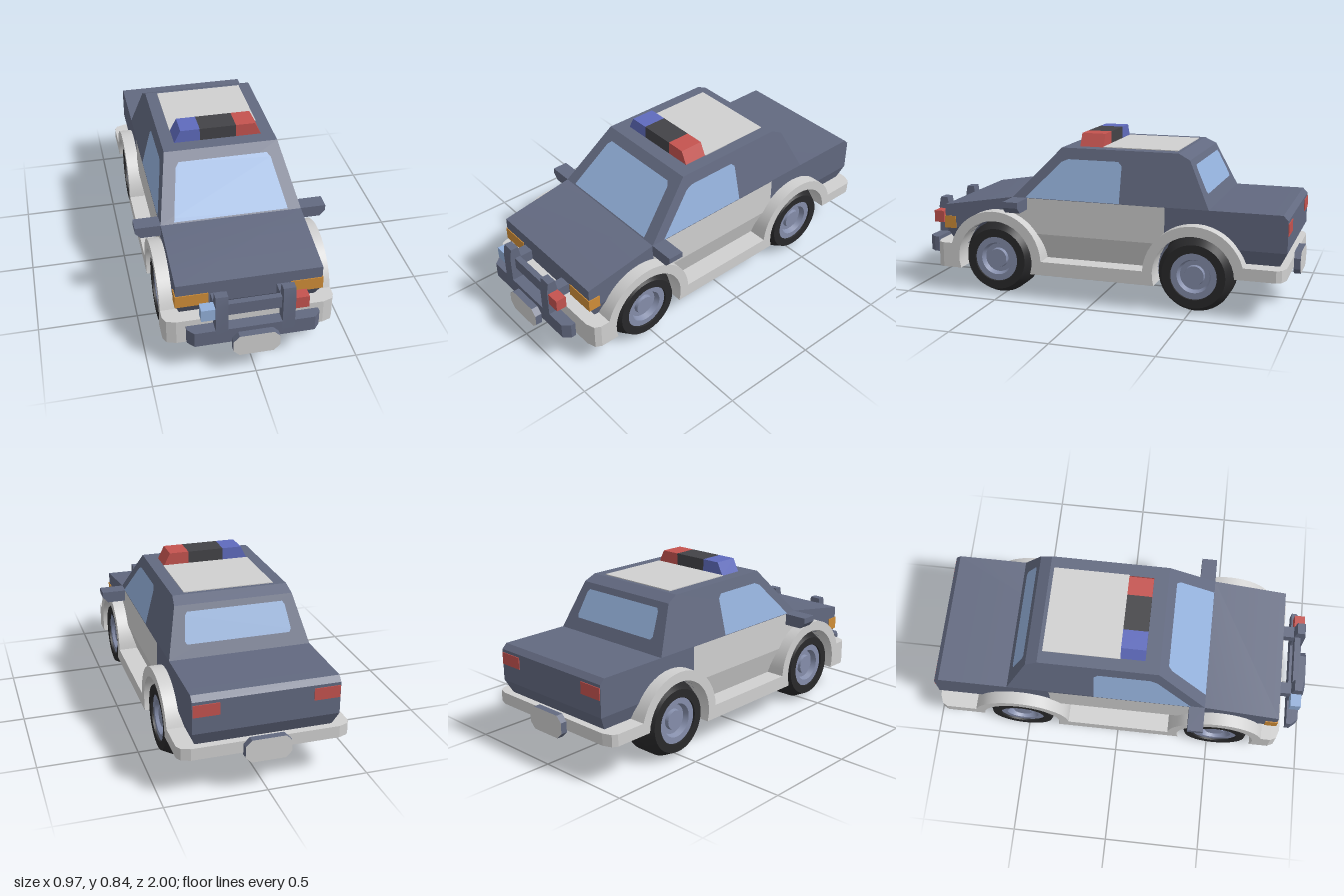
import * as THREE from 'three';
import { toCreasedNormals } from 'three/addons/utils/BufferGeometryUtils.js';

const mat = (name, color, side = THREE.FrontSide) =>
  new THREE.MeshStandardMaterial({ name, color, side });

const AXLE_Y = 0.19, FRONT_Z = 0.53, REAR_Z = -0.52;

// Half width of the car at a given height: tapered sills, upright doors, sloping cabin
const halfWidth = (y) =>
  y < 0.33 ? 0.355 - (0.33 - y) * 0.3 : y <= 0.515 ? 0.355 : 0.355 - (y - 0.515) * 0.25;

// Points [z, y] on a circle around an axle
function arc(cz, r, a0, a1, n = 14) {
  return Array.from({ length: n + 1 }, (_, i) => {
    const a = a0 + ((a1 - a0) * i) / n;
    return [cz + r * Math.cos(a), AXLE_Y + r * Math.sin(a)];
  });
}

const toShape = (pts) => new THREE.Shape(pts.map(([u, v]) => new THREE.Vector2(u, v)));
const extrude = (pts, depth) =>
  new THREE.ExtrudeGeometry(toShape(pts), { depth, bevelEnabled: false });

// Extrude a [z, y] profile along x
function alongX(pts, x0, x1) {
  const g = extrude(pts, x1 - x0);
  g.rotateY(-Math.PI / 2).translate(x1, 0, 0);
  return toCreasedNormals(g, 0.4);
}

// Extrude an [x, z] plan along y
function alongY(pts, y0, y1) {
  const g = extrude(pts, y1 - y0);
  g.rotateX(Math.PI / 2).translate(0, y1, 0);
  return g;
}

// Full-width body section following the car's half width
function hull(pts) {
  const g = extrude(pts, 2);
  g.rotateY(-Math.PI / 2).translate(1, 0, 0);
  const p = g.attributes.position;
  for (let i = 0; i < p.count; i++) p.setX(i, p.getX(i) * halfWidth(p.getY(i)));
  g.computeVertexNormals();
  return toCreasedNormals(g, 0.4);
}

// Thin surface whose flat points are placed by a rule
function panel(pts, place) {
  const g = new THREE.ShapeGeometry(toShape(pts));
  const p = g.attributes.position;
  for (let i = 0; i < p.count; i++) p.setXYZ(i, ...place(p.getX(i), p.getY(i)));
  g.computeVertexNormals();
  return g;
}

function box(x0, x1, y0, y1, z0, z1) {
  const g = new THREE.BoxGeometry(Math.abs(x1 - x0), y1 - y0, z1 - z0);
  return g.translate((x0 + x1) / 2, (y0 + y1) / 2, (z0 + z1) / 2);
}

const mirrorX = (pts) => [...pts, ...pts.map(([x, y]) => [-x, y]).reverse()];

export function createModel() {
  const paint = mat('slate paint', 0x626980);
  const white = mat('pale grey', 0xd0d0d0, THREE.DoubleSide);
  const glass = mat('light blue glass', 0x93b0da, THREE.DoubleSide);
  const rubber = mat('black rubber', 0x29292b);
  const dark = mat('dark grey', 0x434347);
  const rimMat = mat('rim blue grey', 0x858eab);
  const red = mat('red lens', 0xc4534f, THREE.DoubleSide);
  const blue = mat('blue lens', 0x5f6bbd);
  const orange = mat('orange lens', 0xd08e38);

  const car = new THREE.Group();
  car.name = 'patrolCar';
  const add = (name, geo, material, parent = car) => {
    const m = new THREE.Mesh(geo, material);
    m.name = name;
    parent.add(m);
    return m;
  };

  // Body: upper section, sills split by the wheel wells, cabin
  const R = 0.205, top = 0.752, low = -0.297, PI = Math.PI;
  add('upperBody', hull([
    [0.84, 0.33], [0.84, 0.45], [0.45, 0.515], [-0.94, 0.515], [-0.965, 0.49], [-0.965, 0.33],
    ...arc(REAR_Z, R, PI - top, top), ...arc(FRONT_Z, R, PI - top, top),
  ]), paint);
  add('noseSection', hull([[0.8, 0.13], [0.8, 0.26], [0.84, 0.33], ...arc(FRONT_Z, R, top, low)]), paint);
  add('floorSection', hull([...arc(FRONT_Z, R, PI - top, PI - low), ...arc(REAR_Z, R, low, top)]), paint);
  add('tailSection', hull([[-0.93, 0.2], [-0.93, 0.26], [-0.965, 0.33], ...arc(REAR_Z, R, PI - top, PI - 0.05)]), paint);
  add('cabin', hull([[0.45, 0.515], [0.2, 0.775], [-0.41, 0.775], [-0.47, 0.745], [-0.58, 0.515]]), paint);
  add('wheelWellCore', box(-0.18, 0.18, 0.15, 0.45, -0.75, 0.74), rubber);
  add('underbodyStrip', box(-0.1, 0.1, 0.126, 0.14, -0.58, 0.58), rubber);

  // Doors, side windows, wheel arch trim with running boards
  const doorTop = [[0.45, 0.515], ...arc(FRONT_Z, 0.22, 1.943, 2.45), ...arc(REAR_Z, 0.22, 0.69, 0.756), [-0.36, 0.515]];
  const doorLow = [...arc(FRONT_Z, 0.22, 2.45, PI), ...arc(REAR_Z, 0.22, 0, 0.69)];
  const sideGlass = [[0.38, 0.517], [0.195, 0.705], [0.16, 0.72], [-0.105, 0.72], [-0.125, 0.7], [-0.125, 0.517]];
  const trim = [
    [0.81, 0.13], [0.81, 0.26], ...arc(FRONT_Z, 0.255, 0.278, PI - 0.04, 20),
    ...arc(REAR_Z, 0.255, 0.04, PI - 0.278, 20), [-0.91, 0.26], [-0.91, 0.2],
    ...arc(REAR_Z, R, PI - 0.05, low, 20), ...arc(FRONT_Z, R, PI - low, low, 20),
  ];
  const post = [[0.905, 0.18], [0.965, 0.18], [0.965, 0.4], [0.955, 0.45], [0.915, 0.45], [0.905, 0.39]];
  const mirror = [[0.34, 0.455], [0.455, 0.455], [0.483, 0.485], [0.483, 0.515], [0.34, 0.515]];

  // Wheel profiles: radius, distance along the axle
  const lathe = (pts) => toCreasedNormals(
    new THREE.LatheGeometry(pts.map(([r, y]) => new THREE.Vector2(r, y)), 40).rotateZ(-PI / 2), 0.4);
  const tyreGeo = lathe([[0, -0.11], [0.16, -0.11], [0.19, -0.05], [0.19, 0.05], [0.16, 0.11], [0.118, 0.11], [0.115, 0.06], [0, 0.06]]);
  const rimGeo = lathe([[0.117, 0.1], [0.085, 0.1], [0.075, 0.072], [0.052, 0.072], [0.048, 0.09], [0, 0.09]]);

  for (const [side, s] of [['left', 1], ['right', -1]]) {
    const span = (a, b) => (s > 0 ? [a, b] : [-b, -a]);
    const onSide = (z, y) => [s * (halfWidth(y) + 0.004), y, z];
    add(side + 'DoorUpper', panel(doorTop, onSide), white);
    add(side + 'DoorLower', panel(doorLow, onSide), white);
    add(side + 'Window', panel(sideGlass, onSide), glass);
    add(side + 'ArchTrim', alongX(trim, ...span(0.3, 0.42)), white);
    add(side + 'Mirror', extrude(mirror.map(([x, y]) => [s * x, y]), 0.08).translate(0, 0, 0.37), paint);
    add(side + 'Headlight', box(s * 0.2, s * 0.359, 0.325, 0.39, 0.78, 0.844), orange);
    add(side + 'TailLight', box(s * 0.225, s * 0.352, 0.415, 0.475, -0.969, -0.96), red);

    // Bull bar uprights and their lamps
    add(side + 'BullBarPost', alongX(post, ...span(0.13, 0.19)), paint);
    add(side + 'BullBarMount', box(s * 0.13, s * 0.19, 0.33, 0.385, 0.83, 0.91), paint);
    add(side + 'BullBarLamp', box(s * 0.19, s * 0.257, 0.325, 0.388, 0.905, 0.96), s > 0 ? red : glass);

    for (const [end, z] of [['Front', FRONT_Z], ['Rear', REAR_Z]]) {
      const wheel = new THREE.Group();
      wheel.name = side + end + 'Wheel';
      wheel.position.set(s * 0.295, AXLE_Y, z);
      if (s < 0) wheel.rotation.y = PI;
      add('tyre', tyreGeo, rubber, wheel);
      add('rim', rimGeo, rimMat, wheel);
      car.add(wheel);
    }
  }

  // Windscreen and rear window lie on the sloping cabin faces
  add('windscreen', panel(mirrorX([[0.287, 0.52], [0.284, 0.535], [0.242, 0.715], [0.225, 0.733]]),
    (x, y) => [x, y + 0.003, 0.453 - (y - 0.515) * (0.25 / 0.26)]), glass);
  add('rearWindow', panel(mirrorX([[0.258, 0.575], [0.268, 0.59], [0.252, 0.7], [0.24, 0.715]]),
    (x, y) => [x, y + 0.002, -0.584 + (y - 0.515) * (0.11 / 0.23)]), glass);

  // Bumpers and lower bull bar
  add('frontBumper', alongY(mirrorX([[0.42, 0.76], [0.42, 0.825], [0.405, 0.855], [0.36, 0.87]]), 0.13, 0.26), white);
  add('rearBumper', alongY(mirrorX([[0.42, -0.88], [0.42, -0.925], [0.405, -0.95], [0.36, -0.967]]), 0.2, 0.26), white);
  add('bullBarLower', alongY(mirrorX([[0.32, 0.905], [0.32, 0.93], [0.29, 0.965]]), 0.18, 0.26), paint);
  add('bullBarCross', box(-0.13, 0.13, 0.325, 0.39, 0.91, 0.94), paint);

  // Blank number plates: pale faces, slate edges
  const plate = mirrorX([[0.083, 0], [0.113, 0.03], [0.113, 0.085], [0.083, 0.115]]);
  add('frontPlate', extrude(plate, 0.035).translate(0, 0.12, 0.965), [white, paint]);
  add('rearPlate', extrude(plate, 0.035).translate(0, 0.16, -1), [white, paint]);

  // Roof panel and light bar
  add('roofPanel', box(-0.228, 0.228, 0.77, 0.779, -0.39, 0.0), white);
  const barPart = (pts) => extrude(pts, 0.125);
  const lens = (s) => [[s * 0.093, 0.772], [s * 0.226, 0.772], [s * 0.192, 0.84], [s * 0.093, 0.84]];
  add('lightBarRed', barPart(lens(1)), red);
  add('lightBarBlue', barPart(lens(-1)), blue);
  add('lightBarCentre', box(-0.093, 0.093, 0.772, 0.84, 0, 0.125), dark);

  return car;
}
